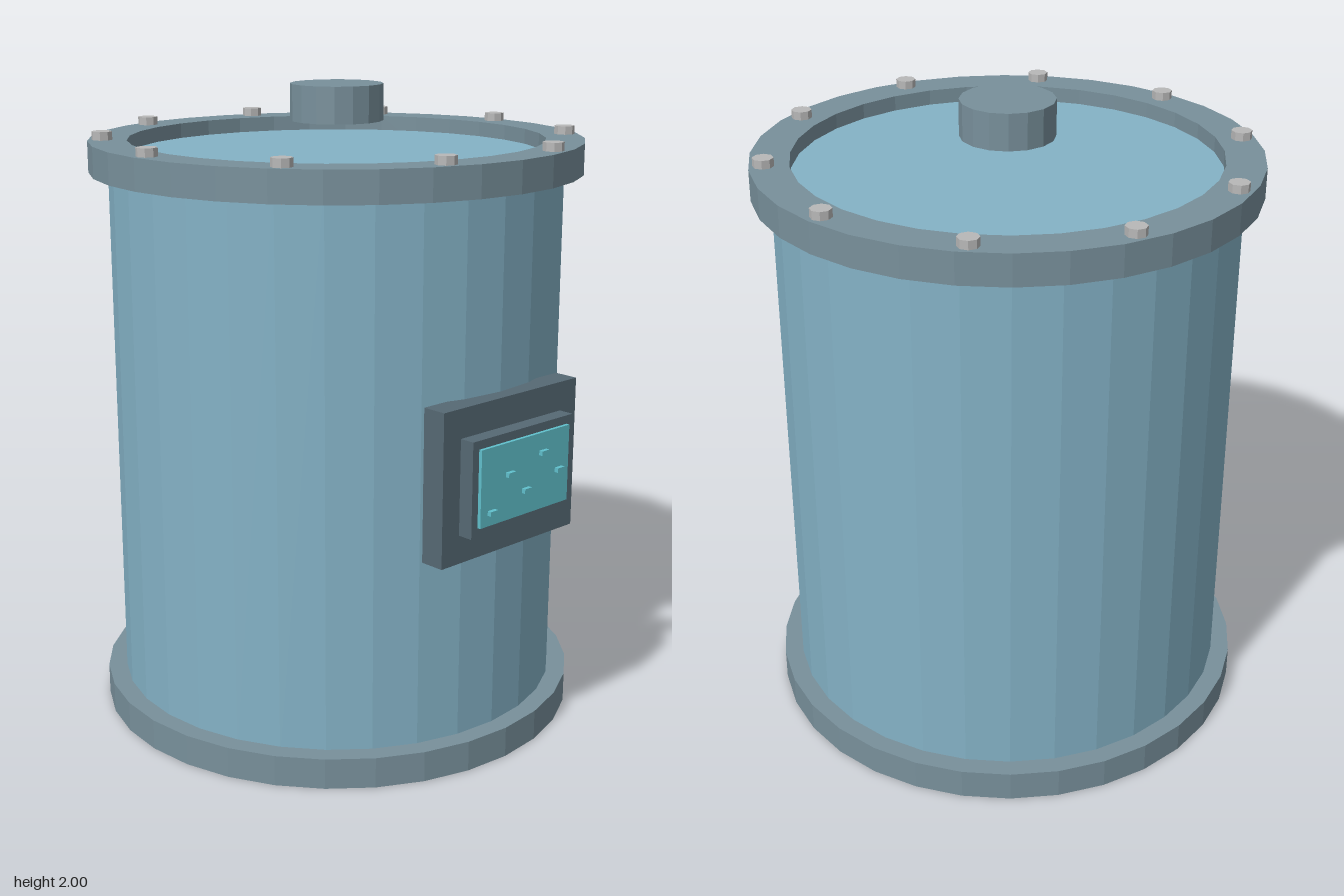
import * as THREE from 'three';

const paint = (name, color) => {
  const m = new THREE.MeshStandardMaterial({ color, flatShading: true });
  m.name = name;
  return m;
};

export function createModel() {
  const tankBlue = paint('tank blue', 0x84b2c6);
  const flangeGrey = paint('flange grey', 0x78909b);
  const panelGrey = paint('panel grey', 0x566974);
  const screenCyan = paint('screen cyan', 0x60c0cc);
  const boltSilver = paint('bolt silver', 0xb8b8b8);

  const model = new THREE.Group();
  model.name = 'tank';
  const axisZ = -0.03;

  const add = (name, geometry, material, x, y, z) => {
    const mesh = new THREE.Mesh(geometry, material);
    mesh.name = name;
    mesh.position.set(x, y, z);
    model.add(mesh);
    return mesh;
  };
  // Upright cylinder between two heights
  const drum = (name, r, y0, y1, sides, material, x = 0, z = axisZ) =>
    add(name, new THREE.CylinderGeometry(r, r, y1 - y0, sides), material, x, (y0 + y1) / 2, z);
  // Box given by its centre line, heights and depths
  const plate = (name, x, w, y0, y1, z0, z1, material) =>
    add(name, new THREE.BoxGeometry(w, y1 - y0, z1 - z0), material, x, (y0 + y1) / 2, (z0 + z1) / 2);

  // Body, its end discs recessed halfway into the flanges
  drum('body', 0.71, 0.048, 1.787, 32, tankBlue);

  // Flange rings around both ends
  const flangeHeight = 0.096;
  const section = [[0.65, 0], [0.77, 0], [0.77, flangeHeight], [0.65, flangeHeight], [0.65, 0]]
    .map(([r, y]) => new THREE.Vector2(r, y));
  const flange = new THREE.LatheGeometry(section, 32);
  add('bottomFlange', flange, flangeGrey, 0, 0, axisZ);
  add('topFlange', flange, flangeGrey, 0, 1.739, axisZ);

  // Bolts through the top flange
  for (let i = 0; i < 10; i++) {
    const a = (i / 10) * Math.PI * 2;
    drum('bolt', 0.032, 1.737, 1.861, 8, boltSilver, 0.725 * Math.cos(a), axisZ + 0.725 * Math.sin(a));
  }

  // Cap hovering over the lid
  drum('cap', 0.145, 1.887, 2, 16, flangeGrey);

  // Control panel on the front
  plate('panelBase', 0, 0.57, 0.688, 1.155, 0.65, 0.728, panelGrey);
  plate('panelFrame', 0, 0.43, 0.775, 1.066, 0.72, 0.776, panelGrey);
  plate('screen', 0, 0.38, 0.805, 1.04, 0.77, 0.787, screenCyan);
  [[-0.145, 0.845], [-0.072, 0.945], [0, 0.88], [0.072, 0.98], [0.145, 0.912]].forEach(([x, y]) =>
    plate('button', x, 0.03, y - 0.007, y + 0.007, 0.78, 0.8, screenCyan));

  return model;
}
